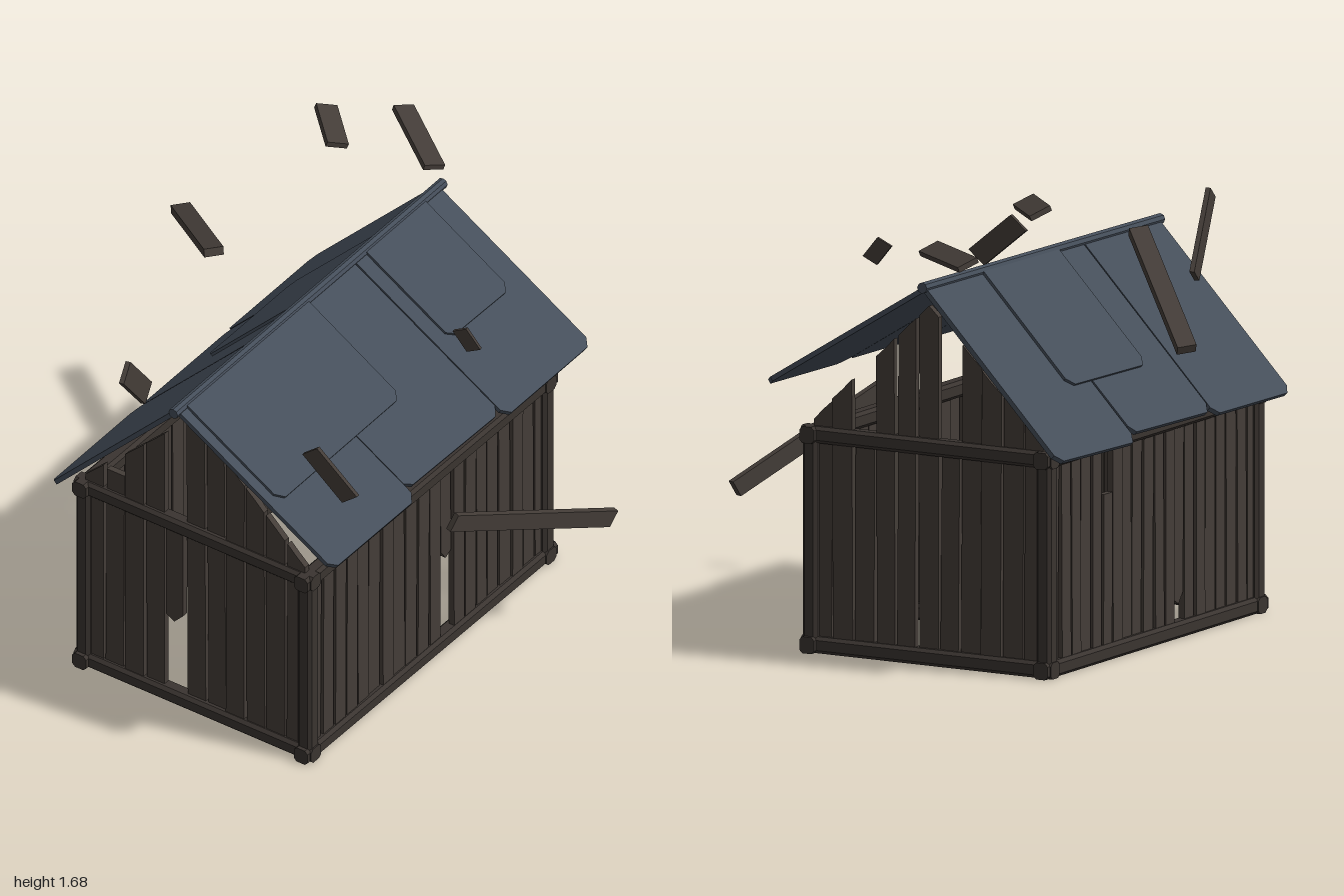
import * as THREE from 'three';

const wood = new THREE.MeshStandardMaterial({ color: 0x443d38, flatShading: true });
const beamWood = new THREE.MeshStandardMaterial({ color: 0x3a3430, flatShading: true });
const slate = new THREE.MeshStandardMaterial({ color: 0x454e5a, flatShading: true });

const HALF_L = 0.715, HALF_W = 0.48; // wall centre lines

let seed = 7;
const rnd = () => ((seed = (seed * 16807) % 2147483647) / 2147483647) - 0.5;

function slab(points, depth) {
  const shape = new THREE.Shape(points.map(p => new THREE.Vector2(p[0], p[1])));
  const geo = new THREE.ExtrudeGeometry(shape, { depth, bevelEnabled: false });
  return geo.translate(0, 0, -depth / 2);
}

function add(parent, geo, material, name) {
  const mesh = new THREE.Mesh(geo, material);
  mesh.name = name;
  parent.add(mesh);
  return mesh;
}

// A row of slightly uneven upright planks; topAt gives the height of the wall
function plankWall(name, count, span, topAt, bottoms = {}, tops = {}) {
  const wall = new THREE.Group();
  wall.name = name;
  const pitch = span / count;
  for (let i = 0; i < count; i++) {
    const c = (i + 0.5) * pitch - span / 2;
    const h = pitch * (0.44 + rnd() * 0.06);
    const lean = rnd() * 0.008, y0 = bottoms[i] ?? 0.02;
    const l = c - h, r = c + h;
    const tl = Math.min(topAt(l), tops[i] ?? 9), tr = Math.min(topAt(r), tops[i] ?? 9);
    const tm = Math.min(topAt(c), tops[i] ?? 9);
    const snag = bottoms[i] ? 0.04 : 0;
    const geo = slab([[l - lean, y0 + snag], [c, y0], [r - lean, y0 + snag / 2],
      [r + lean, tr], [c, tm], [l + lean, tl]], 0.024);
    add(wall, geo, wood, 'plank').position.z = rnd() * 0.012;
  }
  return wall;
}

// Beam with chamfered long edges, lying along x
function beam(length) {
  const a = 0.03, b = 0.018;
  const geo = slab([[-a, -b], [-b, -a], [b, -a], [a, -b], [a, b], [b, a], [-b, a], [-a, b]], length);
  return geo.rotateY(Math.PI / 2);
}

// Roof sheet on one slope: x0..x1 along the ridge, s0..s1 down the slope
function sheet(side, pitch, x0, x1, s0, s1, lift, thick) {
  const k = 0.03;
  const geo = slab([[x0, s0], [x1, s0], [x1 + rnd() * 0.01, s1 - k], [x1 - k, s1],
    [x0 + k, s1 + rnd() * 0.015], [x0, s1 - k]], thick);
  geo.translate(0, 0, -side * lift);
  return geo.rotateX(side * (Math.PI / 2 + pitch));
}

// Loose board from a to b with slanted ends; hint is the direction of its width
function board(a, b, width, thick, hint) {
  const A = new THREE.Vector3(...a), B = new THREE.Vector3(...b);
  const x = B.clone().sub(A), len = x.length();
  x.normalize();
  const z = x.clone().cross(new THREE.Vector3(...hint)).normalize();
  const y = z.clone().cross(x);
  const h = len / 2, w = width / 2, s = width * 0.2;
  const geo = slab([[-h, -w], [h - s, -w], [h, w], [-h + s, w]], thick);
  geo.applyMatrix4(new THREE.Matrix4().makeBasis(x, y, z));
  const m = A.add(B).multiplyScalar(0.5);
  return geo.translate(m.x, m.y, m.z);
}

export function createModel() {
  const model = new THREE.Group();
  model.name = 'ruinedBarn';
  const barn = new THREE.Group();
  barn.name = 'barn';
  barn.position.set(-0.03, 0, -0.025);
  barn.rotation.y = 0.777;
  model.add(barn);

  // Long walls, with broken planks
  const flat = () => 0.79;
  const longFront = plankWall('longWallFront', 20, 2 * HALF_L, flat, { 11: 0.38 });
  longFront.position.z = HALF_W;
  const longBack = plankWall('longWallBack', 20, 2 * HALF_L, flat, { 7: 0.12 }, { 14: 0.6 });
  longBack.position.z = -HALF_W;
  barn.add(longFront, longBack);

  // Gable walls: local x runs along the barn's -z on the +x end
  const gable = c => Math.max(0.82, 1.29 - 0.95 * Math.abs(c));
  const gableRight = plankWall('gableWallLeft', 11, 2 * HALF_W, gable, {}, { 6: 0.8, 2: 0.8 });
  gableRight.rotation.y = Math.PI / 2;
  gableRight.position.x = HALF_L;
  const gableLeft = plankWall('gableWallRight', 11, 2 * HALF_W, gable, { 6: 0.36 }, { 6: 0.8, 9: 0.9 });
  gableLeft.rotation.y = Math.PI / 2;
  gableLeft.position.x = -HALF_L;
  barn.add(gableRight, gableLeft);

  // Sill and top beams, corner posts
  for (const y of [0.03, 0.785]) {
    for (const s of [-1, 1]) {
      add(barn, beam(2 * HALF_L + 0.09), beamWood, 'longBeam').position.set(0, y, s * HALF_W);
      const cross = add(barn, beam(2 * HALF_W + 0.07), beamWood, 'crossBeam');
      cross.rotation.y = Math.PI / 2;
      cross.position.set(s * HALF_L, y, 0);
    }
  }
  for (const sx of [-1, 1]) for (const sz of [-1, 1]) {
    const post = add(barn, beam(0.76), beamWood, 'cornerPost');
    post.rotation.z = Math.PI / 2;
    post.position.set(sx * HALF_L, 0.4, sz * HALF_W);
  }

  // Roof: a shallow lifted slope in front, a steeper one behind
  const roof = new THREE.Group();
  roof.name = 'roof';
  roof.position.set(0, 1.36, -0.03);
  roof.rotation.z = 0.012;
  barn.add(roof);
  const slopes = [
    { side: 1, pitch: 0.55,
      panels: [[-0.8, -0.295, 0.79], [-0.29, 0.262, 0.75], [0.268, 0.79, 0.775]],
      patches: [[-0.76, -0.02, 0.48], [0.33, 0.69, 0.44]] },
    { side: -1, pitch: 0.8,
      panels: [[-0.8, -0.275, 0.79], [-0.268, 0.275, 0.77], [0.282, 0.81, 0.8]],
      patches: [[-0.09, 0.43, 0.53]] },
  ];
  for (const { side, pitch, panels, patches } of slopes) {
    for (const [x0, x1, s] of panels)
      add(roof, sheet(side, pitch, x0, x1, 0, s, 0, 0.018), slate, 'roofPanel');
    for (const [x0, x1, s] of patches)
      add(roof, sheet(side, pitch, x0, x1, 0.01, s, 0.012, 0.014), slate, 'roofPatch');
  }
  const cap = new THREE.CylinderGeometry(0.02, 0.02, 1.64, 8).rotateZ(Math.PI / 2);
  add(roof, cap, slate, 'ridgeCap').position.y = 0.003;

  // Loose flying boards
  const up = [0, 1, 0];
  const loose = [
    [[0.35, 0.79, 0.585], [0.985, 0.505, 0.28], 0.065, 0.025, up],
    [[-0.79, 1.47, 0.41], [-0.67, 1.2, 0.19], 0.085, 0.018, up],
    [[-0.355, 1.47, -0.23], [-0.355, 1.16, -0.92], 0.072, 0.03, [1, 0, 0]],
    [[-0.19, 1.32, 0.77], [-0.06, 1.17, 0.9], 0.08, 0.015, up],
    [[0.44, 1.38, 0.24], [0.49, 1.3, 0.28], 0.06, 0.012, up],
    [[0.14, 1.65, -0.53], [0.14, 1.65, -0.78], 0.085, 0.02, [1, -0.4, 0]],
    [[0.49, 1.5, -0.54], [0.44, 1.505, -0.92], 0.085, 0.02, [1, -0.35, 0]],
  ];
  for (const args of loose) add(model, board(...args), wood, 'looseBoard');
  return model;
}
